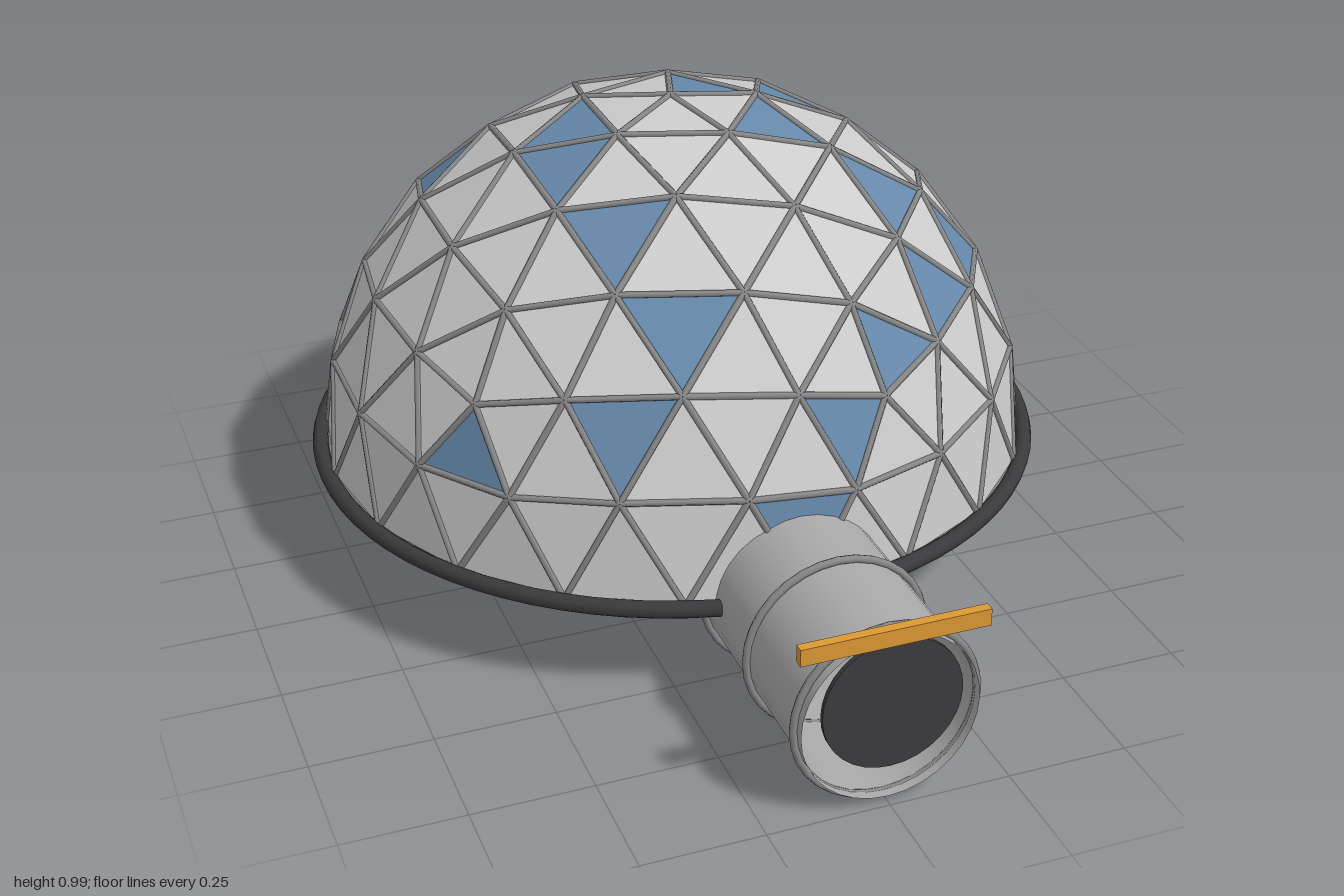
import * as THREE from 'three';

const R = 0.773, FREQ = 4;
const CENTRE = new THREE.Vector3(0, 0.217, -0.197);

const mat = (color, extra = {}) => new THREE.MeshStandardMaterial({ color, ...extra });

function add(parent, name, geometry, material, x = 0, y = 0, z = 0) {
  const mesh = new THREE.Mesh(geometry, material);
  mesh.name = name;
  mesh.position.set(x, y, z);
  parent.add(mesh);
  return mesh;
}

// Upper half of a geodesic sphere with a vertex at the top
function domeTriangles() {
  const ring = (lat, turn) => Array.from({ length: 5 }, (_, i) => {
    const a = (i + turn) * Math.PI * 0.4;
    return new THREE.Vector3(Math.cos(lat) * Math.cos(a), Math.sin(lat), Math.cos(lat) * Math.sin(a));
  });
  const lat = Math.atan(0.5);
  const top = new THREE.Vector3(0, 1, 0), up = ring(lat, 0), low = ring(-lat, 0.5);
  const faces = [];
  for (let i = 0; i < 5; i++) {
    const j = (i + 1) % 5;
    faces.push([top, up[j], up[i]], [up[i], up[j], low[i]], [low[i], up[j], low[j]]);
  }
  const tris = [];
  for (const [a, b, c] of faces) {
    const point = (i, j) => new THREE.Vector3()
      .addScaledVector(a, FREQ - i - j).addScaledVector(b, i).addScaledVector(c, j).setLength(R);
    for (let i = 0; i < FREQ; i++) {
      for (let j = 0; j < FREQ - i; j++) {
        tris.push([point(i, j), point(i + 1, j), point(i, j + 1)]);
        if (i + j < FREQ - 1) tris.push([point(i + 1, j), point(i + 1, j + 1), point(i, j + 1)]);
      }
    }
  }
  return tris.filter(t => t[0].y + t[1].y + t[2].y > 0.01);
}

const centroid = t => new THREE.Vector3().add(t[0]).add(t[1]).add(t[2]).divideScalar(3);

// Plan positions (x, z) of the glazed panels
const GLAZED = [
  [0.12, -0.9], [0.31, -0.84], [0.47, -0.69], [0, -0.63], [0.01, -0.51], [0.11, -0.45],
  [0.58, -0.46], [-0.44, -0.42], [0.31, -0.26], [0.1, -0.26], [0.17, -0.06],
  [-0.26, -0.12], [-0.2, -0.2], [-0.25, 0.14], [-0.58, 0.24], [-0.31, 0.43], [-0.17, 0.36],
  [0.03, 0.54], [0.12, 0.49], [0.27, 0.39], [0.43, 0.26], [0.36, 0.12], [0.58, 0.06],
];

function panelGeometry(tris) {
  const g = new THREE.BufferGeometry().setFromPoints(tris.flat());
  g.computeVertexNormals();
  return g;
}

function createDome() {
  const dome = new THREE.Group();
  dome.name = 'dome';
  dome.position.copy(CENTRE);
  const tris = domeTriangles();

  // Glazed and solid panels
  const glazed = new Set(GLAZED.map(([x, z]) => {
    const dist = t => {
      const c = centroid(t);
      return Math.hypot(c.x - x, c.z + CENTRE.z - z);
    };
    return tris.reduce((best, t) => (dist(t) < dist(best) ? t : best));
  }));
  const panelLook = { side: THREE.DoubleSide, flatShading: true };
  add(dome, 'solidPanels', panelGeometry(tris.filter(t => !glazed.has(t))), mat(0xcccccc, panelLook));
  add(dome, 'glassPanels', panelGeometry([...glazed]), mat(0x6688aa, panelLook));

  // One strut along every shared edge
  const struts = new THREE.Group();
  struts.name = 'struts';
  dome.add(struts);
  const strutMat = mat(0x888888);
  const seen = new Set();
  const key = v => v.toArray().map(n => Math.round(n * 1000) + 0).join(',');
  const yAxis = new THREE.Vector3(0, 1, 0);
  for (const t of tris) {
    for (let i = 0; i < 3; i++) {
      const a = t[i], b = t[(i + 1) % 3];
      const id = [key(a), key(b)].sort().join('|');
      if (seen.has(id)) continue;
      seen.add(id);
      const dir = b.clone().sub(a);
      const strut = add(struts, 'strut', new THREE.CylinderGeometry(0.007, 0.007, dir.length(), 6), strutMat);
      strut.position.copy(a).add(b).multiplyScalar(0.5);
      strut.quaternion.setFromUnitVectors(yAxis, dir.normalize());
    }
  }

  // Base ring
  add(dome, 'baseRing', new THREE.TorusGeometry(0.785, 0.018, 10, 80).rotateX(Math.PI / 2), mat(0x3a3a3c));
  return dome;
}

function createTunnel() {
  const tunnel = new THREE.Group();
  tunnel.name = 'entranceTunnel';
  tunnel.position.y = 0.197;

  // Open tube with three hoops
  add(tunnel, 'tunnelWall', new THREE.CylinderGeometry(0.181, 0.181, 0.52, 32, 1, true).rotateX(Math.PI / 2),
    mat(0xaaaaaa, { side: THREE.DoubleSide }), 0, 0, 0.73);
  for (const z of [0.495, 0.73, 0.965]) {
    add(tunnel, 'hoop', new THREE.TorusGeometry(0.187, 0.008, 8, 32), mat(0x888888), 0, 0, z);
  }

  // Round door and the bar above it
  add(tunnel, 'door', new THREE.CylinderGeometry(0.142, 0.142, 0.01, 32).rotateX(Math.PI / 2),
    mat(0x3c3c40), 0, 0.035, 0.99);
  add(tunnel, 'doorBar', new THREE.BoxGeometry(0.38, 0.036, 0.02), mat(0xdd9933), 0, 0.183, 0.99);
  return tunnel;
}

export function createModel() {
  const model = new THREE.Group();
  model.name = 'geodesicDome';
  model.add(createDome(), createTunnel());
  return model;
}
